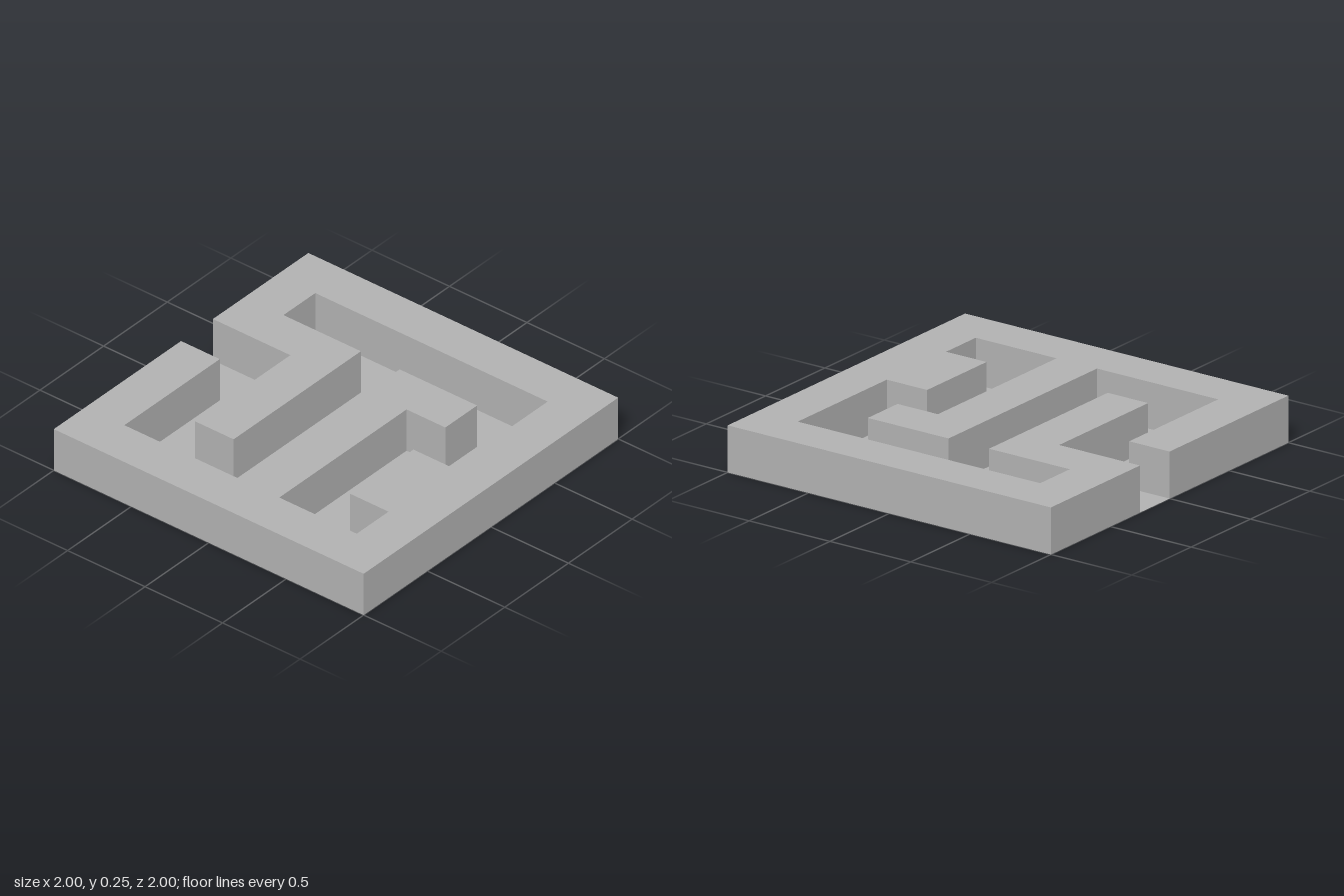
import * as THREE from 'three';

const HEIGHT = 0.25;

// Corridor outline as [x, z], from one side of the entrance to the other
const corridor = [
  [-1, -0.25], [-0.5, -0.25], [-0.5, 0.5], [-0.25, 0.5], [-0.25, -0.5],
  [-0.75, -0.5], [-0.75, -0.75], [0.75, -0.75], [0.75, 0], [0.5, 0],
  [0.5, 0.5], [0.75, 0.5], [0.75, 0.75], [0.25, 0.75], [0.25, -0.25],
  [0.5, -0.25], [0.5, -0.5], [0, -0.5], [0, 0.75], [-0.75, 0.75],
  [-0.75, 0], [-1, 0],
];
// The raised block is the square around the corridor
const block = [...corridor, [-1, 1], [1, 1], [1, -1], [-1, -1]];

// Flat horizontal sheet facing up
function sheet(points, y) {
  const shape = new THREE.Shape(points.map(([x, z]) => new THREE.Vector2(x, -z)));
  return new THREE.ShapeGeometry(shape).rotateX(-Math.PI / 2).translate(0, y, 0);
}

// Upright faces along a closed outline, open at top and bottom
function upright(points, h) {
  const pos = [];
  points.forEach(([ax, az], i) => {
    const [bx, bz] = points[(i + 1) % points.length];
    pos.push(ax, 0, az, bx, 0, bz, bx, h, bz);
    pos.push(ax, 0, az, bx, h, bz, ax, h, az);
  });
  const geo = new THREE.BufferGeometry();
  geo.setAttribute('position', new THREE.Float32BufferAttribute(pos, 3));
  geo.computeVertexNormals();
  return geo;
}

export function createModel() {
  const group = new THREE.Group();
  group.name = 'maze';
  const grey = new THREE.MeshStandardMaterial({ color: 0xb2b2b2, side: THREE.DoubleSide });
  grey.name = 'grey';

  const add = (name, geometry) => {
    const mesh = new THREE.Mesh(geometry, grey);
    mesh.name = name;
    group.add(mesh);
  };

  add('wallTops', sheet(block, HEIGHT));
  add('wallSides', upright(block, HEIGHT)); // hollow underneath
  add('corridorFloor', sheet(corridor, 0));
  return group;
}
